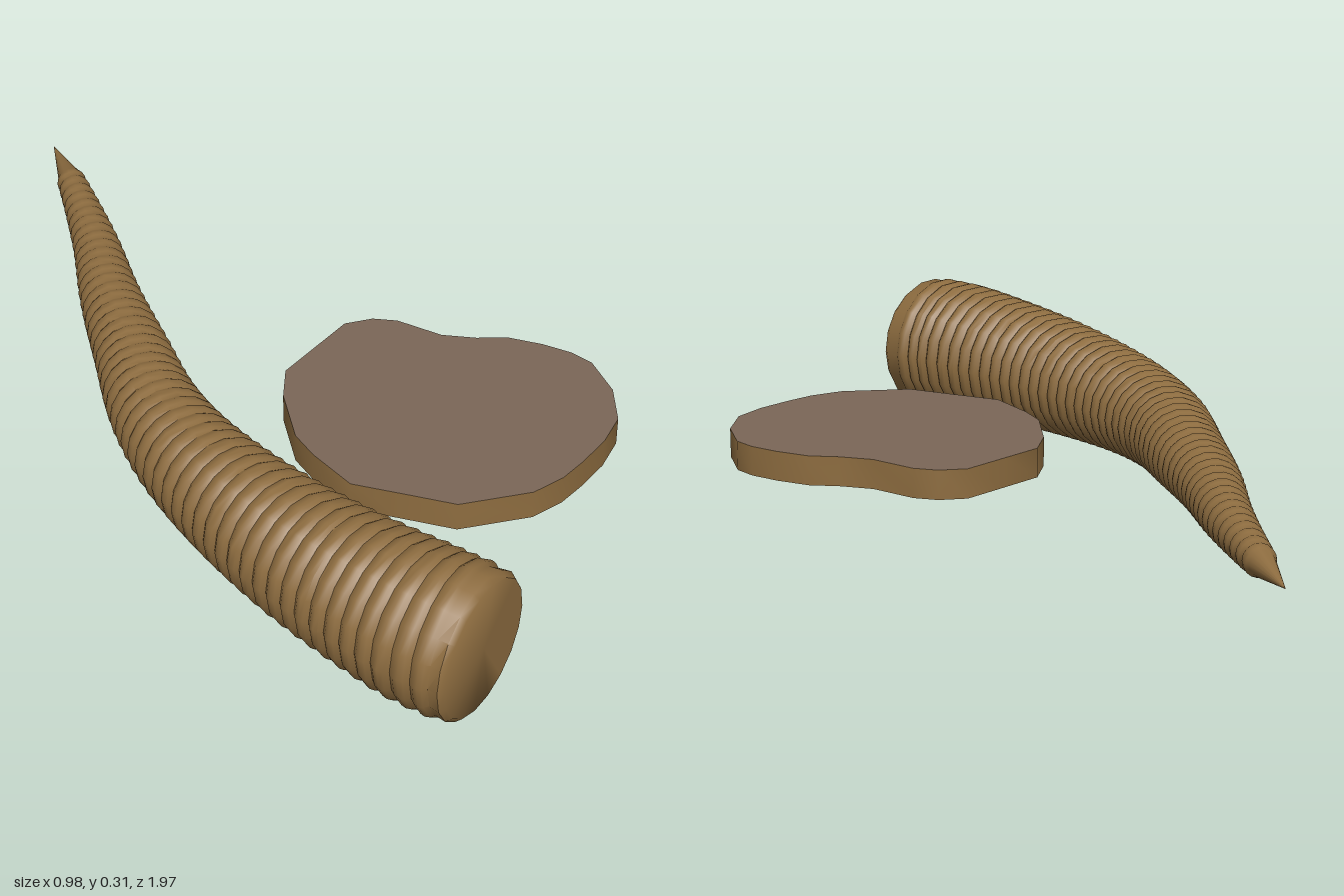
import * as THREE from 'three';
import { toCreasedNormals } from 'three/addons/utils/BufferGeometryUtils.js';

const SIDES = 18;
const RINGS = 50;
const CENTRE_Y = 0.158;

// Centreline of the horn, base to tip, as [x, z]
const PATH = [
  [-0.18, 0.912], [-0.24, 0.79], [-0.335, 0.5], [-0.38, 0.2], [-0.37, 0], [-0.322, -0.2],
  [-0.27, -0.4], [-0.205, -0.6], [-0.14, -0.85], [-0.11, -1],
];

// Outline of the slab seen from above, as [x, z]
const OUTLINE = [
  [-0.16, 0.265], [-0.16, 0.195], [-0.116, 0.07], [-0.07, 0], [0.02, -0.037], [0.12, -0.078],
  [0.18, -0.063], [0.222, -0.03], [0.275, 0.06], [0.333, 0.106], [0.39, 0.138], [0.44, 0.195],
  [0.476, 0.25], [0.492, 0.3], [0.476, 0.397], [0.43, 0.48], [0.365, 0.524], [0.29, 0.556],
  [0.228, 0.577], [0.153, 0.584], [0.005, 0.54], [-0.063, 0.466], [-0.143, 0.38],
];

// Outer radius along the horn, u from 0 (base) to 1 (tip)
function hornRadius(u) {
  if (u < 0.07) return 0.156;
  if (u < 0.92) return THREE.MathUtils.mapLinear(u, 0.07, 0.92, 0.156, 0.033);
  return THREE.MathUtils.mapLinear(u, 0.92, 1, 0.033, 0);
}

// Cross-sections: flat base, rounded rim, scalloped rings, smooth tip
function hornSections() {
  const rows = [{ u: 0, r: 0, groove: 0 }, { u: 0, r: 0.14, groove: 0 }, { u: 0.006, r: 0.15, groove: 0 }];
  const scallop = [1, 0.25, 0, 0.2];
  const start = 0.018, end = 0.93;
  for (let i = 0; i < RINGS; i++) {
    for (let k = 0; k < 4; k++) {
      const u = start + ((end - start) * (i + k / 4)) / RINGS;
      rows.push({ u, r: hornRadius(u), groove: scallop[k] * (0.004 + 0.04 * hornRadius(u)) });
    }
  }
  rows.push({ u: end, r: hornRadius(end), groove: 0.003 }, { u: 1, r: 0, groove: 0 });
  return rows;
}

function hornGeometry() {
  const curve = new THREE.CatmullRomCurve3(PATH.map(([x, z]) => new THREE.Vector3(x, CENTRE_Y, z)));
  const rows = hornSections();
  const positions = [], index = [];
  for (const { u, r, groove } of rows) {
    const p = curve.getPointAt(u), t = curve.getTangentAt(u);
    for (let j = 0; j < SIDES; j++) {
      const a = (j / SIDES) * Math.PI * 2;
      // Grooves are deeper on the flanks than along the top and bottom
      const radius = Math.max(0, r - groove * (0.6 + 0.4 * Math.abs(Math.cos(a))));
      const side = radius * Math.cos(a);
      positions.push(p.x + t.z * side, p.y + radius * Math.sin(a), p.z - t.x * side);
    }
  }
  for (let i = 0; i < rows.length - 1; i++) {
    for (let j = 0; j < SIDES; j++) {
      const k = (j + 1) % SIDES;
      const a = i * SIDES + j, b = i * SIDES + k, c = a + SIDES, d = b + SIDES;
      if (rows[i].r > 0) index.push(a, b, c);
      if (rows[i + 1].r > 0) index.push(b, d, c);
    }
  }
  const geometry = new THREE.BufferGeometry();
  geometry.setAttribute('position', new THREE.Float32BufferAttribute(positions, 3));
  geometry.setIndex(index);
  return toCreasedNormals(geometry, 0.9);
}

function slabGeometry() {
  const shape = new THREE.Shape(OUTLINE.map(([x, z]) => new THREE.Vector2(x, -z)));
  const geometry = new THREE.ExtrudeGeometry(shape, { depth: 0.064, bevelEnabled: false });
  geometry.rotateX(-Math.PI / 2);
  geometry.translate(0, 0.086, 0);
  return toCreasedNormals(geometry, 0.9);
}

export function createModel() {
  const hornBrown = new THREE.MeshStandardMaterial({ name: 'hornBrown', color: 0x8e6d40 });
  const slabGrey = new THREE.MeshStandardMaterial({ name: 'slabGreyBrown', color: 0x7b6757 });

  const model = new THREE.Group();
  model.name = 'hornAndSlab';

  // Long curved ringed horn
  const horn = new THREE.Mesh(hornGeometry(), hornBrown);
  horn.name = 'horn';
  model.add(horn);

  // Irregular slab: grey-brown faces, brown edge
  const slab = new THREE.Mesh(slabGeometry(), [slabGrey, hornBrown]);
  slab.name = 'slab';
  model.add(slab);

  return model;
}
